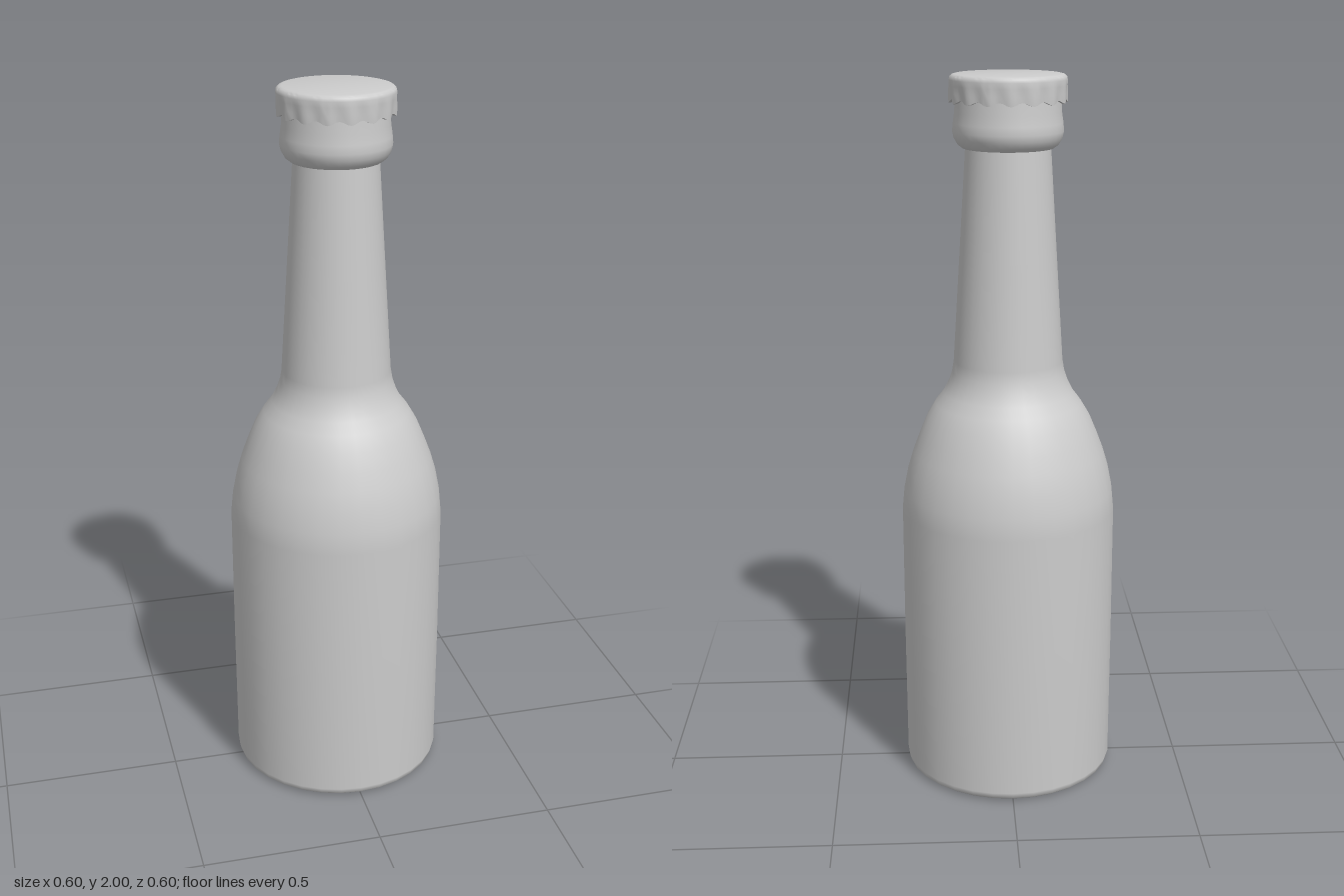
import * as THREE from 'three';
import { toCreasedNormals } from 'three/addons/utils/BufferGeometryUtils.js';

const material = new THREE.MeshStandardMaterial({ color: 0xcccccc });

// Turn a [radius, height] profile, listed from bottom to top
function turned(profile, segments) {
  return new THREE.LatheGeometry(profile.map(([r, y]) => new THREE.Vector2(r, y)), segments);
}

function addPart(group, name, geometry) {
  const mesh = new THREE.Mesh(geometry, material);
  mesh.name = name;
  group.add(mesh);
}

export function createModel() {
  const group = new THREE.Group();
  group.name = 'bottle';

  // Body, shoulder and tapering neck (a repeated point makes a crease)
  addPart(group, 'bottleBody', turned([
    [0, 0], [0.27, 0], [0.27, 0], [0.286, 0.003], [0.296, 0.011], [0.3, 0.026],
    [0.302, 0.4], [0.302, 0.79], [0.296, 0.85], [0.284, 0.91], [0.269, 0.96],
    [0.25, 1.01], [0.229, 1.06], [0.205, 1.1], [0.182, 1.13], [0.167, 1.16],
    [0.157, 1.19], [0.152, 1.22], [0.134, 1.51], [0.115, 1.82],
  ], 32));

  // Thick lip ring under the cap
  addPart(group, 'lipRing', turned([
    [0.112, 1.806], [0.124, 1.806], [0.124, 1.806], [0.136, 1.815], [0.146, 1.832],
    [0.15, 1.85], [0.148, 1.872], [0.144, 1.9], [0.141, 1.96],
  ], 32));

  // Crown cap: flutes deepen down the skirt and scallop its lower edge
  const cap = turned([
    [0.139, 1.95], [0.148, 1.93], [0.156, 1.93], [0.157, 1.95], [0.157, 1.97],
    [0.158, 1.985], [0.156, 1.993], [0.15, 1.998], [0.142, 2], [0, 2],
  ], 96);
  const pos = cap.attributes.position;
  const flutes = 16;
  for (let i = 0; i < pos.count; i++) {
    const x = pos.getX(i), y = pos.getY(i), z = pos.getZ(i);
    const r = Math.hypot(x, z);
    if (r < 0.145 || y > 1.98) continue;
    const wave = Math.cos(flutes * Math.atan2(x, z));
    const k = 1 + wave * 0.018 * Math.min(1, (1.985 - y) / 0.035);
    pos.setXYZ(i, x * k, y < 1.94 ? y - 0.005 * wave : y, z * k);
  }
  addPart(group, 'crownCap', toCreasedNormals(cap, 0.8));

  return group;
}
